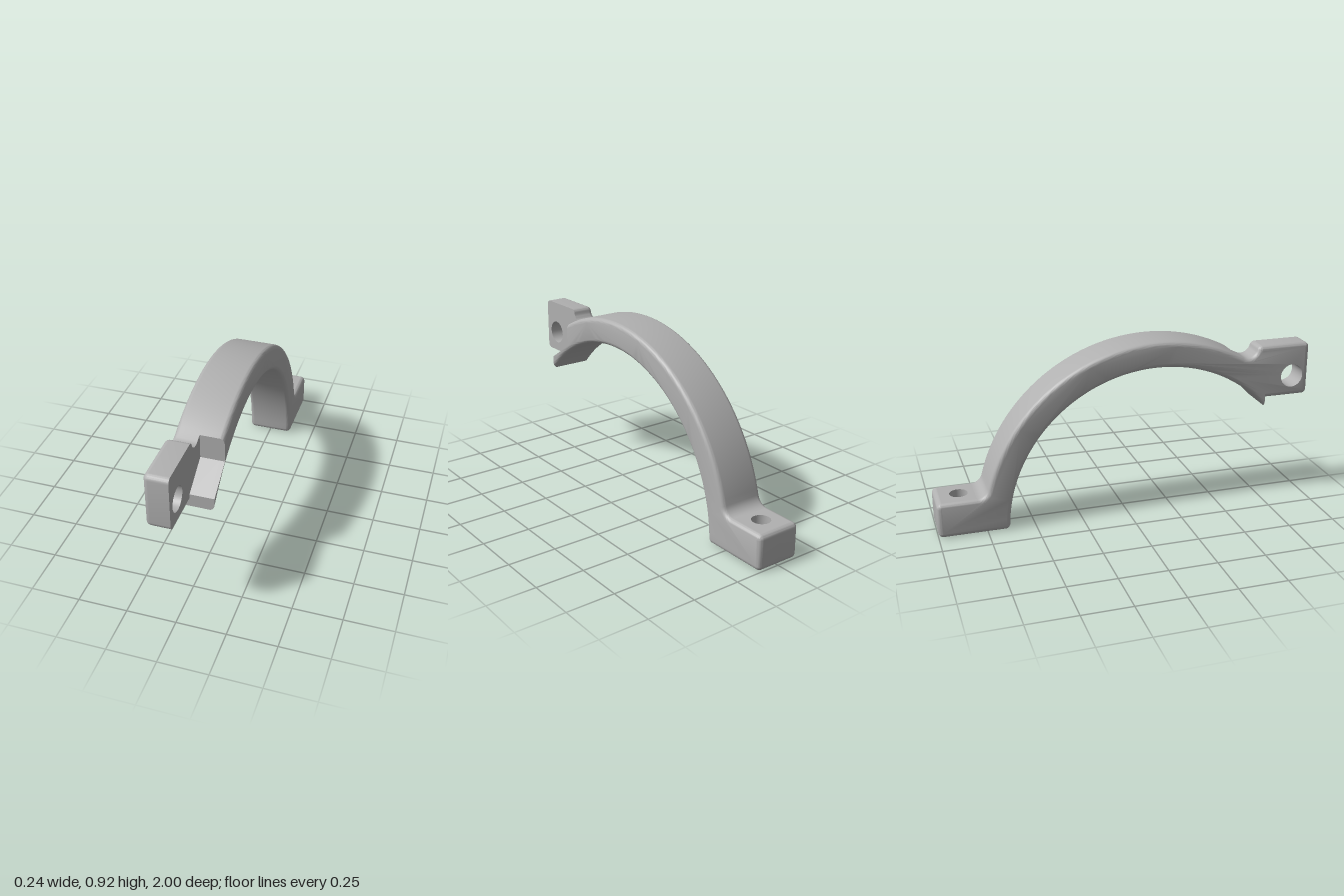
import * as THREE from 'three';
import { toCreasedNormals } from 'three/addons/utils/BufferGeometryUtils.js';

const HALF = 0.12;      // half width of the band
const ROUND = 0.024;    // rounding of the long edges
const CZ = 0.162, CY = -0.005, R_OUT = 0.93, R_IN = 0.795;
const LUG_HOLE = { z: 0.905, y: 0.68, r: 0.062 };
const FOOT_HOLE = { z: -0.875, r: 0.047 };
const FOOT_TOP = 0.185;

const P = (z, y) => new THREE.Vector2(z, y);
const last = (list) => list[list.length - 1];

// Points along an arc in the side plane (z, y), angles in radians
function arc(z, y, r, a0, a1, n) {
  return Array.from({ length: n + 1 }, (_, i) => {
    const a = a0 + (a1 - a0) * i / n;
    return P(z + r * Math.cos(a), y + r * Math.sin(a));
  });
}

// Inset of each corner; edges starting at a point of `sharp` stay in place
function insetDirections(pts, sharp) {
  const edges = pts.map((p, i) => {
    const q = pts[(i + 1) % pts.length];
    const d = q.clone().sub(p).normalize();
    return { n: P(-d.y, d.x), d: sharp.has(p) ? 0 : 1 };
  });
  return edges.map((b, i) => {
    const a = edges[(i + edges.length - 1) % edges.length];
    if (a.d === b.d) return a.n.clone().add(b.n).multiplyScalar(a.d / (1 + a.n.dot(b.n)));
    const det = a.n.x * b.n.y - a.n.y * b.n.x;
    return P((a.d * b.n.y - b.d * a.n.y) / det, (a.n.x * b.d - b.n.x * a.d) / det);
  });
}

// Half of the band: profile swept from x = 0 to the side, with a rounded rim and a cap
function halfBand(side, pts, sharp, open, hole) {
  const dirs = insetDirections(pts, sharp);
  const stations = [[0, 0]];
  for (let i = 0; i <= 6; i++) {
    const a = i / 6 * Math.PI / 2;
    stations.push([HALF - ROUND + ROUND * Math.sin(a), ROUND * (1 - Math.cos(a))]);
  }
  const rings = stations.map(([x, inset]) => pts.map((p, j) => {
    const q = p.clone().addScaledVector(dirs[j], inset);
    return [side * x, q.y, q.x];
  }));
  const out = [];
  const tri = (a, b, c) => (side > 0 ? out.push(...a, ...c, ...b) : out.push(...a, ...b, ...c));
  for (let i = 0; i < rings.length - 1; i++) {
    for (let j = 0; j < pts.length; j++) {
      if (i === 0 && open.has(pts[j])) continue;
      const k = (j + 1) % pts.length;
      tri(rings[i][j], rings[i][k], rings[i + 1][k]);
      tri(rings[i][j], rings[i + 1][k], rings[i + 1][j]);
    }
  }
  const rim = last(rings);
  const holes = hole ? [hole] : [];
  const all = [...rim, ...holes.flat().map((p) => [side * HALF, p.y, p.x])];
  const faces = THREE.ShapeUtils.triangulateShape(rim.map((v) => P(v[2], v[1])), holes);
  faces.forEach(([a, b, c]) => tri(all[a], all[b], all[c]));
  const geo = new THREE.BufferGeometry();
  geo.setAttribute('position', new THREE.Float32BufferAttribute(out, 3));
  return toCreasedNormals(geo, 0.5);
}

// Flat face with a round hole
function plate(points, cx, cy, r) {
  const shape = new THREE.Shape(points);
  const path = new THREE.Path();
  path.absarc(cx, cy, r, 0, Math.PI * 2, true);
  shape.holes.push(path);
  return new THREE.ShapeGeometry(shape, 24);
}

// Inward-facing wall of a hole
const bore = (r, lo, hi) => new THREE.LatheGeometry([P(r, hi), P(r, lo)], 48);

export function createModel() {
  const group = new THREE.Group();
  const grey = new THREE.MeshStandardMaterial({ color: 0xb0b0b0 });
  grey.name = 'grey';
  const add = (name, geo) => {
    const mesh = new THREE.Mesh(geo, grey);
    mesh.name = name;
    group.add(mesh);
    return mesh;
  };
  const PI = Math.PI;

  // Arch and foot profile, from the front of the outer arc round to the front of the inner arc
  const f = 0.06, c = 0.026;
  const fy = FOOT_TOP + f;
  const fa = Math.asin((fy - CY) / (R_OUT + f));
  const fz = CZ - (R_OUT + f) * Math.cos(fa);
  const outer = arc(CZ, CY, R_OUT, Math.acos((0.6 - CZ) / R_OUT), PI - fa, 56);
  const fillet = arc(fz, fy, f, -fa, -PI / 2, 8).slice(1);
  const heelTop = arc(-1 + c, FOOT_TOP - c, c, PI / 2, PI, 6);
  const heelLow = arc(-1 + c, c, c, PI, PI * 1.5, 6);
  const ia = PI - Math.asin((c - CY) / R_IN);
  const iz = CZ + R_IN * Math.cos(ia);
  const toe = arc(iz - c, c, c, PI * 1.5, PI * 2, 6);
  const inner = arc(CZ, CY, R_IN, ia, Math.acos((0.757 - CZ) / R_IN), 56).slice(1);
  const band = [...outer, ...fillet, ...heelTop, ...heelLow, ...toe, ...inner];
  const tip = last(inner);
  const open = new Set([last(fillet), last(heelLow)]);

  // Lug profile with its neck
  const lipTop = P(0.757, 0.57);
  const lug = [
    ...arc(1 - c, 0.57 + c, c, -PI / 2, 0, 6),
    ...arc(1 - c, 0.855 - c, c, 0, PI / 2, 6),
    ...arc(0.733, 0.829, c, PI / 2, 2.88, 6),
    ...arc(0.655, 0.85, 0.055, -0.26, -2.09, 10).slice(1),
  ];
  const ring = arc(LUG_HOLE.z, LUG_HOLE.y, LUG_HOLE.r, 0, PI * 2, 48).slice(0, -1);

  // Right half carries the lug, left half is cut back in a step
  add('rightHalfWithLug', halfBand(-1, [...band, lipTop, ...lug], new Set([tip]), open, ring));
  const step = [P(0.757, 0.59), P(0.6, 0.69)];
  add('leftHalfWithStep', halfBand(1, [...band, ...step], new Set([tip, ...step]), open));

  // Flat inner face of the lug, exposed above the step
  const face = [lipTop, ...lug, outer[0], step[1], step[0]].map((p) => P(-p.x, p.y));
  add('lugInnerFace', plate(face, -LUG_HOLE.z, LUG_HOLE.y, LUG_HOLE.r).rotateY(PI / 2));
  const lugBore = add('lugHole', bore(LUG_HOLE.r, -HALF, 0).rotateZ(-PI / 2));
  lugBore.position.set(0, LUG_HOLE.y, LUG_HOLE.z);

  // Top and bottom faces of the foot around the screw hole
  const w = HALF - ROUND;
  const rect = (a, b) => [P(-w, a), P(w, a), P(w, b), P(-w, b)];
  const top = plate(rect(-fz, 1 - c), 0, -FOOT_HOLE.z, FOOT_HOLE.r).rotateX(-PI / 2);
  add('footTop', top).position.y = FOOT_TOP;
  add('footBottom', plate(rect(-1 + c, iz - c), 0, FOOT_HOLE.z, FOOT_HOLE.r).rotateX(PI / 2));
  add('footHole', bore(FOOT_HOLE.r, 0, FOOT_TOP)).position.z = FOOT_HOLE.z;

  return group;
}
